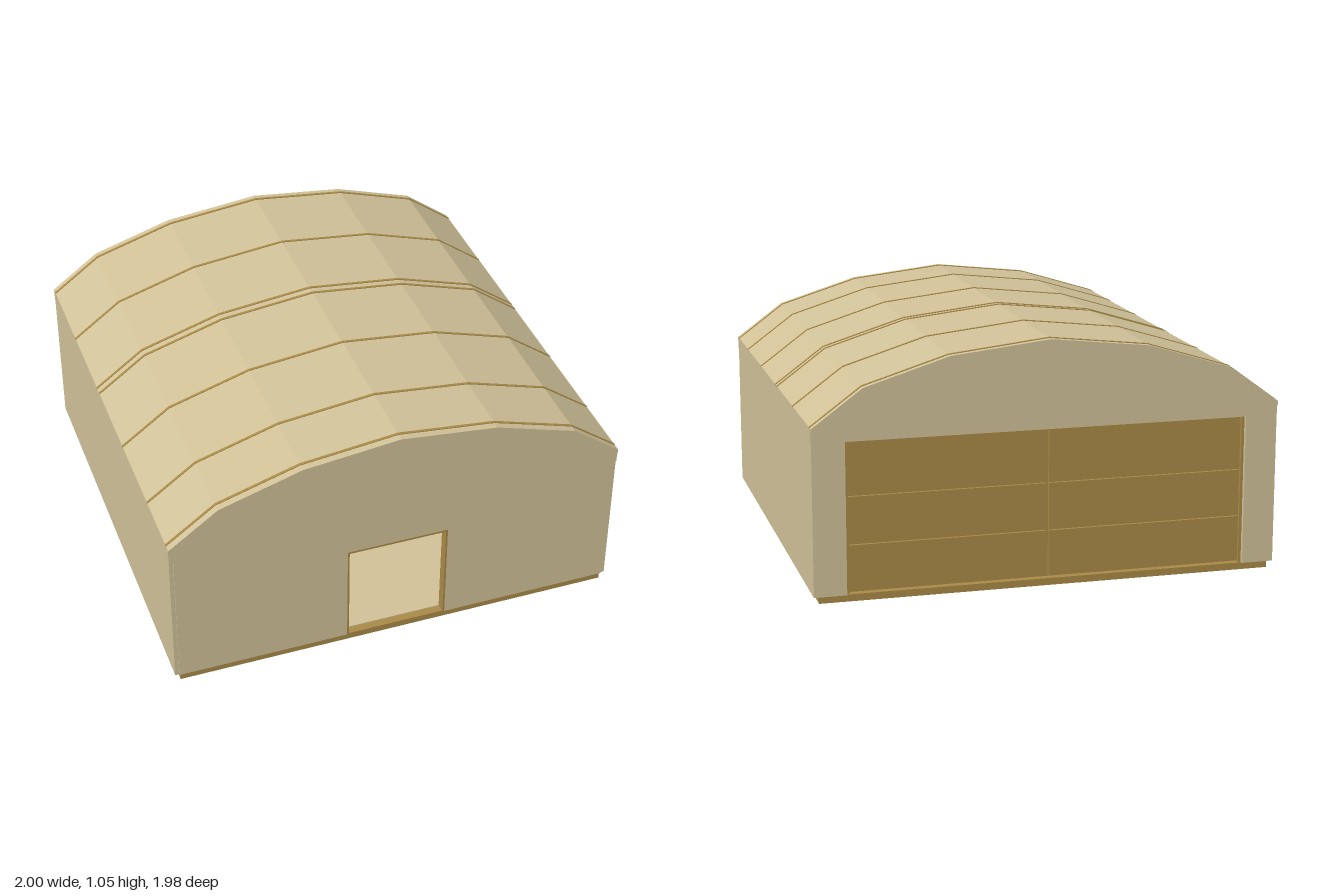
import * as THREE from 'three';

export function createModel() {
  const model = new THREE.Group();
  const cream = new THREE.MeshStandardMaterial({ color: 0xd0c198 });
  cream.name = 'cream panel';
  const brown = new THREE.MeshStandardMaterial({ color: 0xa98a47 });
  brown.name = 'ochre metal';

  const add = (name, geo, mat, x = 0, y = 0, z = 0) => {
    const mesh = new THREE.Mesh(geo, mat);
    mesh.name = name;
    mesh.position.set(x, y, z);
    model.add(mesh);
    return mesh;
  };
  // box given by its limits
  const box = (name, mat, x0, x1, y0, y1, z0, z1) =>
    add(name, new THREE.BoxGeometry(x1 - x0, y1 - y0, z1 - z0), mat,
      (x0 + x1) / 2, (y0 + y1) / 2, (z0 + z1) / 2);
  const extrude = (name, mat, shape, z0, z1) =>
    add(name, new THREE.ExtrudeGeometry(shape, { depth: z1 - z0, bevelEnabled: false }), mat, 0, 0, z0);
  const shapeOf = pts => new THREE.Shape(pts.map(p => new THREE.Vector2(...p)));

  // faceted roof line, right to left
  const half = [[1, 0.735], [0.785, 0.893], [0.425, 1.004]];
  const arch = [...half, [0, 1.052], ...half.map(([x, y]) => [-x, y]).reverse()];
  const shift = dy => arch.map(([x, y]) => [x, y + dy]);
  const band = (lo, hi) => shapeOf([...shift(hi), ...shift(lo).reverse()]);

  // base slab and floor
  box('baseSlab', brown, -0.975, 0.975, 0, 0.03, -0.975, 0.98);
  box('floor', cream, -0.97, 0.97, 0.03, 0.034, -0.93, 0.945);

  // side walls
  for (const s of [-1, 1]) {
    const wall = box(s > 0 ? 'leftWall' : 'rightWall', cream, -0.01, 0.01, 0.03, 0.733, -0.985, 0.98);
    wall.position.x = s * 0.988;
  }

  // gable walls, each with a doorway notch and stepped corners
  const gable = (name, w, top, z0, z1) => extrude(name, cream, shapeOf([
    [w, 0.03], [0.98, 0.03], [0.98, 0.67], [0.998, 0.67], ...shift(-0.008),
    [-0.998, 0.67], [-0.98, 0.67], [-0.98, 0.03], [-w, 0.03], [-w, top], [w, top],
  ]), z0, z1);
  gable('frontWall', 0.225, 0.5, 0.945, 0.985);
  gable('backWall', 0.86, 0.675, -0.985, -0.94);

  // roof shell and flush rib strips
  extrude('roof', cream, band(-0.014, 0), -0.99, 0.988);
  for (const z of [-0.957, -0.565, -0.168, -0.126, 0.272, 0.667, 0.95])
    extrude('roofRib', brown, band(-0.003, 0.003), z - 0.006, z + 0.006);
  for (const s of [-1, 1])
    box('eaveStrip', cream, s * 0.996 - 0.004, s * 0.996 + 0.004, 0.728, 0.737, -0.985, 0.985);

  // front doorway lining
  for (const s of [-1, 1])
    box('doorwayJamb', brown, s * 0.222 - 0.004, s * 0.222 + 0.004, 0.03, 0.5, 0.94, 0.986);
  box('doorwayHead', brown, -0.225, 0.225, 0.493, 0.502, 0.94, 0.986);

  // back sliding door: two leaves of three panels with narrow seams
  box('doorBacking', brown, -0.87, 0.87, 0.03, 0.685, -0.943, -0.935);
  const rows = [0.034, 0.235, 0.44, 0.67];
  for (const s of [-1, 1])
    for (let i = 0; i < 3; i++) {
      const panel = box('backDoorPanel', brown, -0.4225, 0.4225, rows[i] + 0.003, rows[i + 1] - 0.003, -0.956, -0.943);
      panel.position.x = s * 0.4265;
    }
  for (const s of [-1, 1])
    box('backDoorGuide', brown, s * 0.853 - 0.006, s * 0.853 + 0.006, 0.03, 0.675, -0.97, -0.945);

  // latch plates on the inside of the back door
  const latch = (x0, x1, y0, y1) => box('doorLatch', cream, x0, x1, y0, y1, -0.935, -0.929);
  latch(-0.014, 0.014, 0.034, 0.145);
  latch(-0.04, -0.014, 0.072, 0.108);
  latch(0.014, 0.04, 0.072, 0.108);
  latch(-0.036, 0.036, 0.38, 0.398);
  latch(-0.036, -0.02, 0.355, 0.38);
  latch(0.02, 0.036, 0.355, 0.38);

  return model;
}
